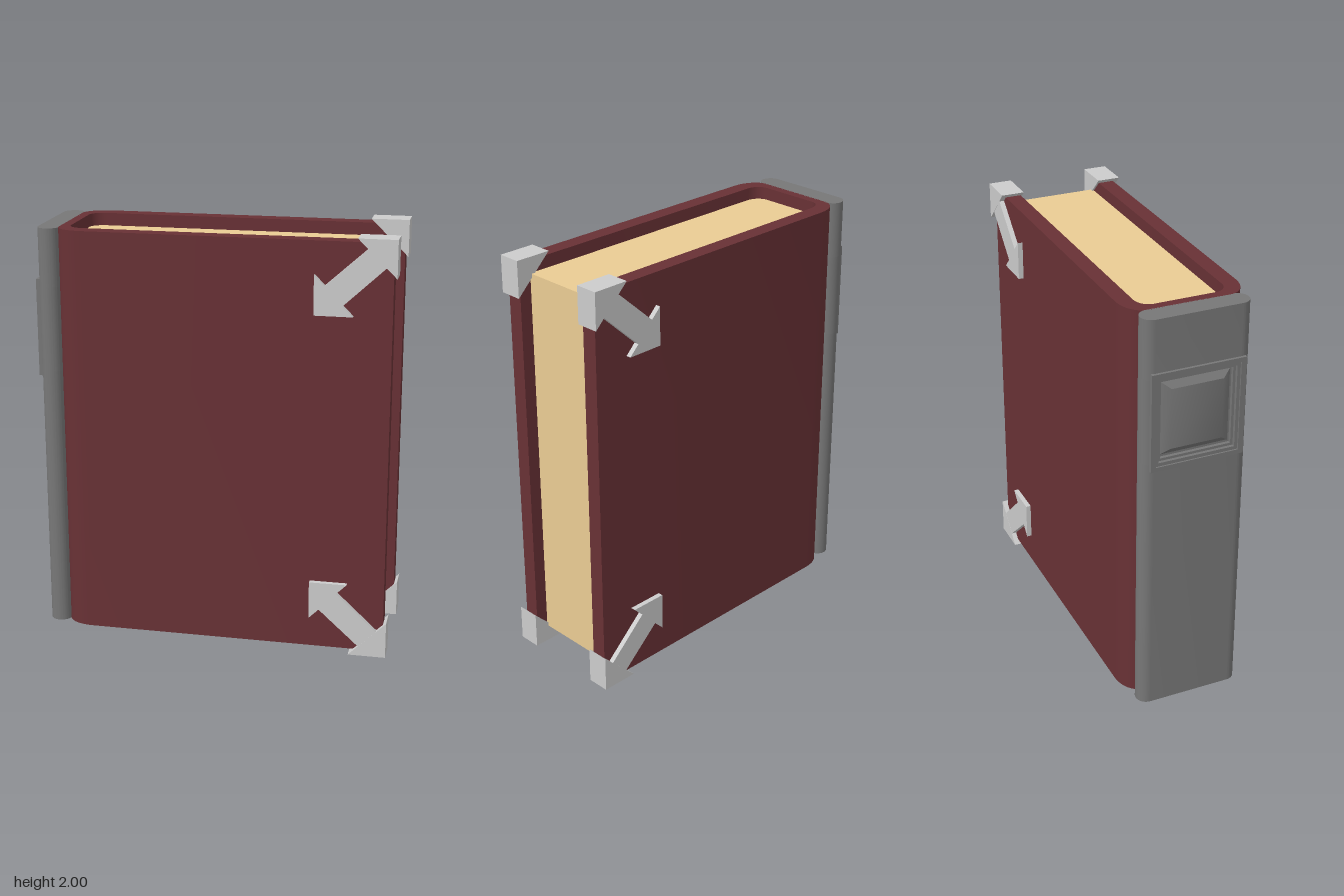
import * as THREE from 'three';
import { toCreasedNormals } from 'three/addons/utils/BufferGeometryUtils.js';

const material = (color) => new THREE.MeshStandardMaterial({ color });
const leather = material(0x683135), paper = material(0xeacc94);
const iron = material(0x777777), steel = material(0xcccccc);

const extrude = (shape, depth) =>
  new THREE.ExtrudeGeometry(shape, { depth, bevelEnabled: false, curveSegments: 8 });

function addMesh(parent, name, geometry, mat) {
  const mesh = new THREE.Mesh(toCreasedNormals(geometry, 0.6), mat);
  mesh.name = name;
  parent.add(mesh);
  return mesh;
}

// Extrudes a plan outline upward between two heights
const upright = (shape, y0, y1) =>
  extrude(shape, y1 - y0).rotateX(-Math.PI / 2).translate(0, y0, 0);

// Extrudes a spine-facing outline (z, y) along x
const spineFacing = (shape, x0, x1) =>
  extrude(shape, x1 - x0).rotateY(-Math.PI / 2).translate(x1, 0, 0);

// Traces one end of the book with two rounded corners
function roundedEnd(path, back, half, rx, ry) {
  path.lineTo(back + rx, half);
  path.bezierCurveTo(back + rx * 0.45, half, back, half - ry * 0.45, back, half - ry);
  path.lineTo(back, ry - half);
  path.bezierCurveTo(back, ry * 0.45 - half, back + rx * 0.45, -half, back + rx, -half);
}

// Spine bar outline with half-round ends, optionally notched on the outer face
function spineShape(notched) {
  const r = 0.051, back = -0.877, mid = back + r, end = 0.25 - r;
  const s = new THREE.Shape();
  s.moveTo(mid, -0.25);
  s.absarc(mid, -end, r, -Math.PI / 2, 0, false);
  s.lineTo(mid + r, end);
  s.absarc(mid, end, r, 0, Math.PI, false);
  if (notched) {
    s.lineTo(back, 0.18);
    s.lineTo(-0.852, 0.18);
    s.lineTo(-0.852, -0.18);
    s.lineTo(back, -0.18);
  }
  s.lineTo(back, -end);
  s.absarc(mid, -end, r, Math.PI, Math.PI * 1.5, false);
  return s;
}

// Rectangular ring
function ringShape(w, h, iw, ih) {
  const rect = (p, a, b) => p.moveTo(-a, -b).lineTo(a, -b).lineTo(a, b).lineTo(-a, b).closePath();
  const s = rect(new THREE.Shape(), w, h);
  s.holes.push(rect(new THREE.Path(), iw, ih));
  return s;
}

const polygon = (points, up) =>
  new THREE.Shape(points.map(([x, y]) => new THREE.Vector2(x, 1 + up * (y - 1))));

export function createModel() {
  const model = new THREE.Group();
  model.name = 'book';
  const book = new THREE.Group();
  book.name = 'turnedBook';
  book.rotation.y = 0.6435;
  book.position.set(0.004, 0, 0.006);
  model.add(book);

  // U-shaped cover
  const cover = new THREE.Shape();
  cover.moveTo(0.783, 0.28);
  roundedEnd(cover, -0.78, 0.28, 0.13, 0.09);
  cover.lineTo(0.783, -0.28);
  cover.lineTo(0.783, -0.205);
  const inner = new THREE.Path();
  inner.moveTo(0.783, 0.205);
  roundedEnd(inner, -0.735, 0.205, 0.07, 0.06);
  inner.getPoints(8).reverse().forEach((p) => cover.lineTo(p.x, p.y));
  addMesh(book, 'cover', upright(cover, 0.02, 1.98), leather);

  // Page block
  const pages = new THREE.Shape();
  pages.moveTo(0.722, 0.205);
  roundedEnd(pages, -0.735, 0.205, 0.07, 0.06);
  pages.lineTo(0.722, -0.205);
  addMesh(book, 'pages', upright(pages, 0.08, 1.92), paper);

  // Spine bar, notched where the plate sits
  const spine = new THREE.Group();
  spine.name = 'spine';
  book.add(spine);
  [[0.02, 1.3, false], [1.3, 1.705, true], [1.705, 1.98, false]].forEach(([y0, y1, notched]) =>
    addMesh(spine, 'spineBar', upright(spineShape(notched), y0, y1), iron));

  // Stepped frame and raised panel on the spine
  const plate = new THREE.Group();
  plate.name = 'spinePlate';
  plate.position.y = 1.5025;
  spine.add(plate);
  addMesh(plate, 'outerFrame', spineFacing(ringShape(0.22, 0.2325, 0.195, 0.212), -0.89, -0.87), iron);
  addMesh(plate, 'middleFrame', spineFacing(ringShape(0.197, 0.214, 0.18, 0.196), -0.883, -0.86), iron);
  addMesh(plate, 'innerFrame', spineFacing(ringShape(0.182, 0.2025, 0.168, 0.184), -0.868, -0.85), iron);
  const panel = new THREE.BoxGeometry(0.024, 0.35, 0.325);
  const pos = panel.attributes.position;
  for (let i = 0; i < pos.count; i++) {
    if (pos.getX(i) < 0) {
      pos.setY(i, pos.getY(i) * 0.82);
      pos.setZ(i, pos.getZ(i) * 0.75);
    }
  }
  addMesh(plate, 'raisedPanel', panel, iron).position.x = -0.863;

  // Corner guards: a thick triangular cap with an arrow strap on the cover
  const cap = [[0.8, 2], [0.622, 2], [0.8, 1.825]];
  const strap = [[0.43, 1.645], [0.608, 1.645], [0.56, 1.693], [0.755, 1.875],
    [0.67, 1.955], [0.478, 1.781], [0.43, 1.829]];
  for (const side of [1, -1]) {
    for (const up of [1, -1]) {
      const guard = new THREE.Group();
      guard.name = 'cornerGuard';
      book.add(guard);
      addMesh(guard, 'cornerCap', extrude(polygon(cap, up), 0.11), steel)
        .position.z = side > 0 ? 0.195 : -0.305;
      addMesh(guard, 'arrowStrap', extrude(polygon(strap, up), 0.026), steel)
        .position.z = side > 0 ? 0.278 : -0.304;
    }
  }
  return model;
}
